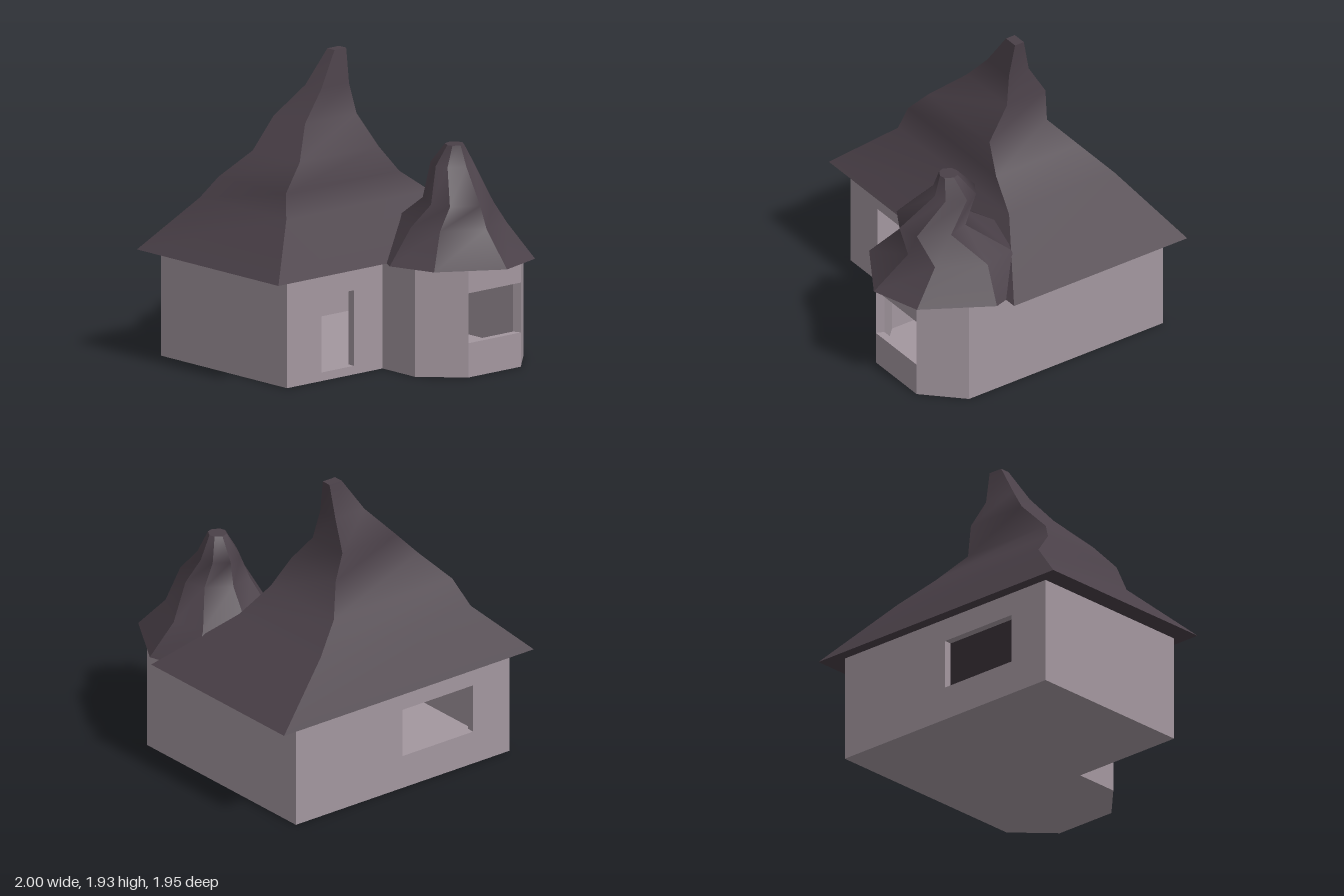
import * as THREE from 'three';
import { mergeGeometries } from 'three/addons/utils/BufferGeometryUtils.js';

const wallMat = new THREE.MeshStandardMaterial({ color: 0xa3979f });
const roofMat = new THREE.MeshStandardMaterial({ color: 0x4a4048 });

// Skin a stack of rings; each side is smooth upwards, with a sharp ridge between sides.
function loft(rings) {
  const n = rings[0].length, parts = [];
  const add = (points, index) => {
    const g = new THREE.BufferGeometry();
    g.setAttribute('position', new THREE.Float32BufferAttribute(points.flat(), 3));
    g.setIndex(index);
    g.computeVertexNormals();
    parts.push(g);
  };
  for (let i = 0; i < n; i++) {
    const points = [], index = [];
    rings.forEach((ring, k) => {
      points.push(ring[i], ring[(i + 1) % n]);
      if (k) {
        const a = 2 * k - 2;
        index.push(a, a + 2, a + 1, a + 1, a + 2, a + 3);
      }
    });
    add(points, index);
  }
  // Caps: underside and tip
  const down = [], up = [];
  for (let i = 1; i < n - 1; i++) {
    down.push(0, i, i + 1);
    up.push(0, i + 1, i);
  }
  add(rings[0], down);
  add(rings[rings.length - 1], up);
  return mergeGeometries(parts);
}

function rectangle(PathType, x0, y0, x1, y1) {
  const p = new PathType();
  p.moveTo(x0, y0).lineTo(x1, y0).lineTo(x1, y1).lineTo(x0, y1).closePath();
  return p;
}

// House footprint as [x, z], with a many-sided bay at the front
const footprint = [
  [-0.865, -0.9], [0.845, -0.9], [0.845, 0.585], [0.61, 0.82],
  [0.17, 0.82], [-0.065, 0.585], [-0.065, 0.28], [-0.865, 0.28],
].map(([x, z]) => new THREE.Vector2(x, z));
const thickness = 0.05, eaves = 0.69;
const count = footprint.length;
const inwards = footprint.map((a, i) => {
  const d = footprint[(i + 1) % count].clone().sub(a).normalize();
  return new THREE.Vector2(-d.y, d.x);
});
// Mitred inner corners
const inner = footprint.map((a, i) => {
  const n1 = inwards[(i + count - 1) % count], n2 = inwards[i];
  return n1.clone().add(n2).multiplyScalar(thickness / (1 + n1.dot(n2))).add(a);
});

// One wall panel along footprint edge i; the hole is [x0, y0, x1, y1] in world x.
function wall(name, i, y0, y1, hole) {
  const j = (i + 1) % count, a = footprint[i], b = footprint[j];
  const shape = rectangle(THREE.Shape, 0, y0, 1, y1);
  if (hole) {
    const u = [hole[0], hole[2]].map((x) => (x - a.x) / (b.x - a.x)).sort((p, q) => p - q);
    shape.holes.push(rectangle(THREE.Path, u[0], hole[1], u[1], hole[3]));
  }
  const g = new THREE.ExtrudeGeometry(shape, { depth: 1, bevelEnabled: false });
  const pos = g.attributes.position;
  for (let k = 0; k < pos.count; k++) {
    const u = pos.getX(k);
    let p = a.clone().lerp(b, u);
    if (pos.getZ(k) > 0.5) {
      if (u < 1e-5) p = inner[i];
      else if (u > 1 - 1e-5) p = inner[j];
      else p.addScaledVector(inwards[i], thickness);
    }
    pos.setXYZ(k, p.x, pos.getY(k), p.y);
  }
  g.computeVertexNormals();
  const mesh = new THREE.Mesh(g, wallMat);
  mesh.name = name;
  return mesh;
}

export function createModel() {
  const house = new THREE.Group();
  house.name = 'cottage';

  // Walls with a back window, a front doorway and an open bay window
  const walls = new THREE.Group();
  walls.name = 'walls';
  walls.add(
    wall('backWall', 0, 0, eaves, [-0.575, 0.22, -0.01, 0.54]),
    wall('leftWall', 1, 0, eaves),
    wall('bayLeftWall', 2, 0, eaves),
    wall('bayWindowSill', 3, 0, 0.22),
    wall('bayWindowLintel', 3, 0.54, eaves),
    wall('bayRightWall', 4, 0, eaves),
    wall('baySideWall', 5, 0, eaves),
    wall('doorWall', 6, 0, eaves, [-0.575, 0.055, -0.305, 0.54]),
    wall('rightWall', 7, 0, eaves),
  );
  house.add(walls);

  // Floor slab
  const floorShape = new THREE.Shape(inner.map((p) => new THREE.Vector2(p.x, -p.y)));
  const floor = new THREE.Mesh(
    new THREE.ExtrudeGeometry(floorShape, { depth: 0.055, bevelEnabled: false }).rotateX(-Math.PI / 2),
    wallMat,
  );
  floor.name = 'floor';
  house.add(floor);

  // Crooked main roof: y, x range, z range
  const mainRings = [
    [0.69, -1, 1, -0.975, 0.35],
    [1.01, -0.67, 0.53, -0.755, 0.055],
    [1.16, -0.63, 0.32, -0.625, 0.005],
    [1.33, -0.475, 0.187, -0.478, -0.038],
    [1.52, -0.285, 0.147, -0.495, -0.2],
    [1.71, -0.115, 0.117, -0.388, -0.237],
    [1.93, 0.03, 0.128, -0.343, -0.276],
  ].map(([y, x0, x1, z0, z1]) => [[x0, y, z0], [x1, y, z0], [x1, y, z1], [x0, y, z1]]);
  const mainRoof = new THREE.Mesh(loft(mainRings), roofMat);
  mainRoof.name = 'mainRoof';
  house.add(mainRoof);

  // Crooked bay roof: y, centre x, centre z, radius
  const angles = [-125, -82, -35, 2, 58, 95, 145, 180].map(THREE.MathUtils.degToRad);
  const bayRings = [
    [0.69, 0.405, 0.42, 0.535],
    [0.9, 0.43, 0.385, 0.352],
    [1.065, 0.35, 0.525, 0.228],
    [1.265, 0.42, 0.395, 0.142],
    [1.395, 0.405, 0.43, 0.062],
  ].map(([y, cx, cz, r]) => angles.map((t) => [cx + r * Math.cos(t), y, cz + r * Math.sin(t)]));
  // Pull the wider front corners of the eaves into place
  bayRings[0][4] = [0.685, 0.69, 0.87];
  bayRings[0][5] = [0.36, 0.69, 0.97];
  const bayRoof = new THREE.Mesh(loft(bayRings), roofMat);
  bayRoof.name = 'bayRoof';
  house.add(bayRoof);

  return house;
}
